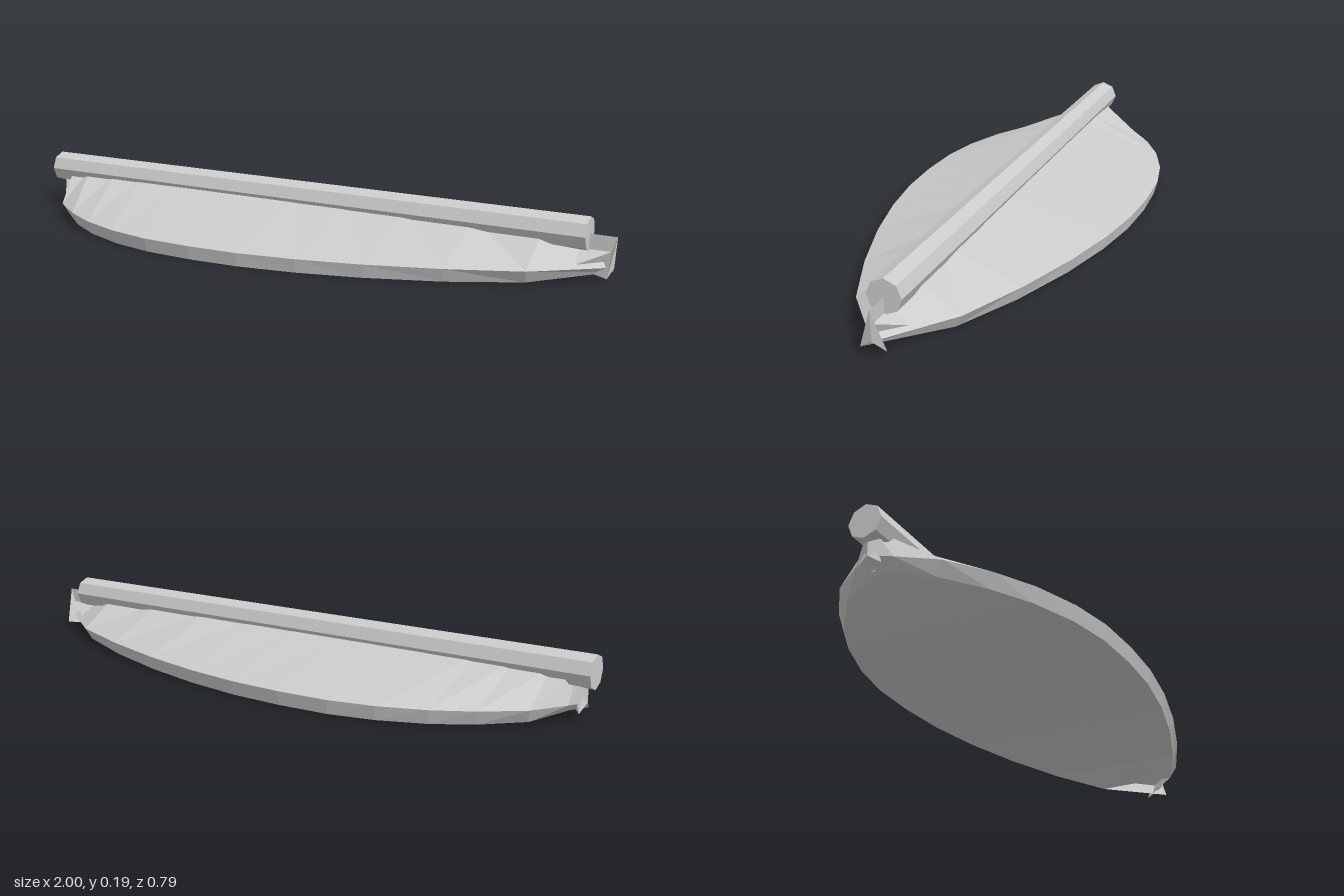
import * as THREE from 'three';

const RIDGE_Y = 0.136, RIM_Y = 0.045, THICKNESS = 0.046;

// Rim outline of one blade half: [x, half width]
const OUTLINE = [
  [-0.98, 0], [-0.945, 0.058], [-0.875, 0.16], [-0.76, 0.247], [-0.645, 0.31],
  [-0.505, 0.36], [-0.365, 0.387], [-0.2, 0.394], [-0.035, 0.387], [0.15, 0.36],
  [0.35, 0.313], [0.57, 0.243], [0.785, 0.156], [0.995, 0],
];

// One sloping half of the leaf shell, side = 1 (front) or -1 (back)
function bladeHalf(side) {
  const drop = RIDGE_Y - RIM_Y;
  const slices = OUTLINE.map(([x, w], i) => {
    // thickness runs along the slope's normal, so it folds over at the tips
    const run = Math.max(w, 0.06), len = Math.hypot(run, drop);
    const ridgeX = i === OUTLINE.length - 1 ? 1 : x;
    const innerX = x * 0.99;
    return [
      [ridgeX, RIDGE_Y, 0],
      [x, RIM_Y, side * w],
      [innerX, RIM_Y - THICKNESS * run / len, side * (w - THICKNESS * drop / len)],
      [innerX, RIDGE_Y - THICKNESS, 0],
    ];
  });
  const positions = [];
  const quad = (a, b, c, d) => {
    const corners = side > 0 ? [a, b, c, a, c, d] : [a, c, b, a, d, c];
    corners.forEach((p) => positions.push(...p));
  };
  for (let i = 0; i < slices.length - 1; i++) {
    const a = slices[i], b = slices[i + 1];
    // top slope, rim wall, underside
    for (let k = 0; k < 3; k++) quad(a[k], a[k + 1], b[k + 1], b[k]);
  }
  // end caps
  const first = slices[0], last = slices[slices.length - 1];
  quad(first[3], first[2], first[1], first[0]);
  quad(last[0], last[1], last[2], last[3]);

  const geometry = new THREE.BufferGeometry();
  geometry.setAttribute('position', new THREE.Float32BufferAttribute(positions, 3));
  geometry.computeVertexNormals();
  return geometry;
}

export function createModel() {
  const group = new THREE.Group();
  group.name = 'leafBlade';
  const grey = new THREE.MeshStandardMaterial({ color: 0xcccccc, flatShading: true, side: THREE.DoubleSide });
  grey.name = 'light grey';

  for (const side of [1, -1]) {
    const half = new THREE.Mesh(bladeHalf(side), grey);
    half.name = side > 0 ? 'frontBladeHalf' : 'backBladeHalf';
    group.add(half);
  }

  // Octagonal spine rod along the ridge
  const rod = new THREE.Mesh(new THREE.CylinderGeometry(0.051, 0.051, 1.92, 8), grey);
  rod.name = 'spineRod';
  rod.rotation.z = Math.PI / 2;
  rod.position.set(-0.04, RIDGE_Y, 0);
  group.add(rod);

  return group;
}
